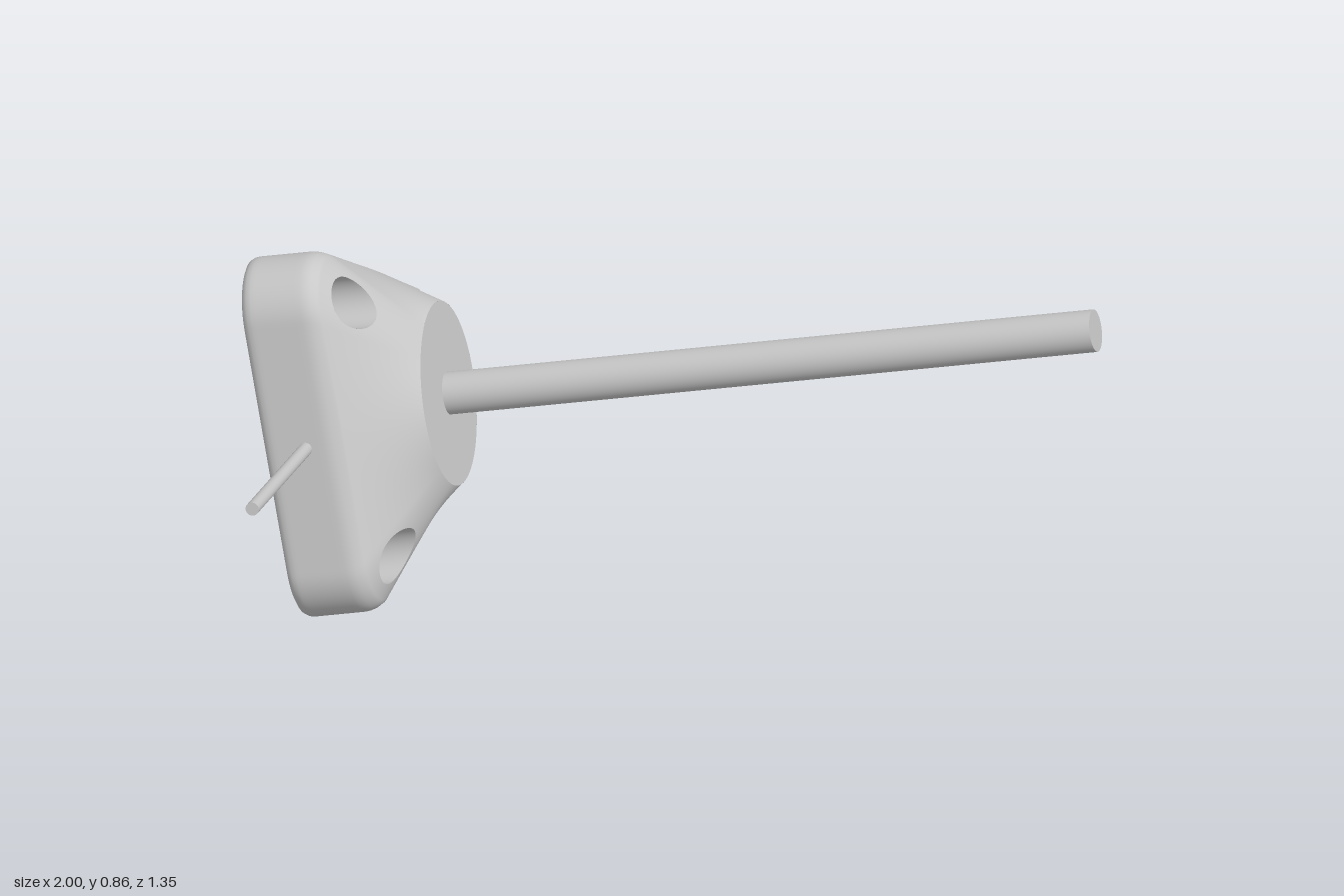
import * as THREE from 'three';

export function createModel() {
  const model = new THREE.Group();
  const grey = new THREE.MeshStandardMaterial({ color: 0xc8c8c8, side: THREE.DoubleSide });

  // Tilted frame: local z runs along the rod, local x along the thin lead
  const mount = new THREE.Group();
  mount.name = 'mountAssembly';
  const axis = new THREE.Vector3(0.973, 0.226, -0.035).normalize();
  const side = new THREE.Vector3(-0.018, 0.225, 0.974);
  side.addScaledVector(axis, -side.dot(axis)).normalize();
  const cross = new THREE.Vector3().crossVectors(axis, side);
  mount.quaternion.setFromRotationMatrix(new THREE.Matrix4().makeBasis(side, cross, axis));
  mount.position.set(-0.555, 0.438, -0.187);
  model.add(mount);

  const add = (name, geometry, x = 0, y = 0, z = 0) => {
    const mesh = new THREE.Mesh(geometry, grey);
    mesh.name = name;
    mesh.position.set(x, y, z);
    mount.add(mesh);
    return mesh;
  };

  const TOP_R = 0.217, SLOPE = 0.175, BACK = -0.35, BORE = 0.063, PIN = 0.03;
  const FRONT_FLOOR = -0.2, BACK_FLOOR = -0.28, N = 240;
  const holes = [[0.262, 0.31], [0.262, -0.31], [-0.367, 0]];

  // Rounded triangular outline with a blunt tip
  const a = 1.976;
  const outline = new THREE.Shape();
  outline.absarc(0.25, 0.305, 0.13, 0, a);
  outline.absarc(-0.42, 0.083, 0.07, a, Math.PI);
  outline.absarc(-0.42, -0.083, 0.07, Math.PI, 2 * Math.PI - a);
  outline.absarc(0.25, -0.305, 0.13, 2 * Math.PI - a, 2 * Math.PI);
  outline.closePath();
  const rim = outline.getSpacedPoints(N).slice(0, N);

  // Distance from the axis to the convex outline in a given direction
  const reach = (dx, dy) => {
    let best = Infinity;
    rim.forEach((p, i) => {
      const q = rim[(i + 1) % N];
      const nx = q.y - p.y, ny = p.x - q.x;
      const along = nx * dx + ny * dy;
      if (along > 1e-9) best = Math.min(best, (nx * p.x + ny * p.y) / along);
    });
    return best;
  };
  // Height of the sloping surface between outline and top disc
  const height = (x, y) => {
    const d = Math.hypot(x, y);
    return -SLOPE * (d - TOP_R) / (reach(x / d, y / d) - TOP_R);
  };

  // Housing: straight rim, small edge rounding, then slope up to the disc
  const rows = [[0.97, BACK], [0.985, BACK + 0.004], [0.997, BACK + 0.014], [1, BACK + 0.025],
    [1, BACK + 0.035], [1, -0.22], [1, -0.205], [0.997, -0.192], [0.988, -0.18]];
  const SLOPE_ROWS = 32, total = rows.length + SLOPE_ROWS + 1;
  const positions = [], inside = [], index = [];
  for (let i = 0; i < total; i++) {
    for (const p of rim) {
      if (i < rows.length) {
        positions.push(p.x * rows[i][0], p.y * rows[i][0], rows[i][1]);
        inside.push(false);
        continue;
      }
      const d = p.length();
      const k = THREE.MathUtils.lerp(0.97, TOP_R / d, (i - rows.length) / SLOPE_ROWS);
      let x = p.x * k, y = p.y * k;
      // Points inside a screw hole move out to its edge
      const hole = holes.find(([hx, hy]) => Math.hypot(x - hx, y - hy) < BORE);
      if (hole) {
        const dx = x - hole[0], dy = y - hole[1], m = Math.hypot(dx, dy) || 1;
        x = hole[0] + dx / m * BORE;
        y = hole[1] + dy / m * BORE;
      }
      positions.push(x, y, height(x, y));
      inside.push(!!hole);
    }
  }
  for (let i = 0; i < total - 1; i++) {
    for (let j = 0; j < N; j++) {
      const p = i * N + j, q = i * N + (j + 1) % N, r = p + N, s = q + N;
      for (const tri of [[p, q, s], [p, s, r]]) {
        if (!tri.every((v) => inside[v])) index.push(...tri);
      }
    }
  }
  const housing = new THREE.BufferGeometry();
  housing.setAttribute('position', new THREE.Float32BufferAttribute(positions, 3));
  housing.setIndex(index);
  housing.computeVertexNormals();
  add('housing', housing);
  add('topDisc', new THREE.CircleGeometry(TOP_R, 96));

  // Flat back plate with three openings
  const backShape = new THREE.Shape(rim.map((p) => p.clone().multiplyScalar(0.97)));
  for (const [x, y] of holes) {
    backShape.holes.push(new THREE.Path().absarc(x, y, BORE, 0, 2 * Math.PI, true));
  }
  const backPlate = new THREE.ShapeGeometry(backShape, 24);
  backPlate.rotateX(Math.PI);
  backPlate.scale(1, -1, 1);
  // Turn the faces to look backwards
  const order = backPlate.index.array;
  const pos = backPlate.attributes.position;
  const e = [0, 1, 2].map((i) => new THREE.Vector3().fromBufferAttribute(pos, order[i]));
  if (e[1].clone().sub(e[0]).cross(e[2].clone().sub(e[0])).z > 0) {
    for (let i = 0; i < order.length; i += 3) [order[i], order[i + 1]] = [order[i + 1], order[i]];
  }
  backPlate.computeVertexNormals();
  add('backPlate', backPlate, 0, 0, BACK);

  // Screw holes: wide recess on both sides, narrow bore between
  const tube = (radius, from, to) => {
    const g = new THREE.CylinderGeometry(radius, radius, to - from, 48, 1, true);
    return g.rotateX(Math.PI / 2).translate(0, 0, (from + to) / 2);
  };
  for (const [x, y] of holes) {
    const recess = tube(BORE, FRONT_FLOOR, 0);
    const p = recess.attributes.position;
    for (let i = 0; i < p.count; i++) {
      if (p.getZ(i) > -0.01) p.setZ(i, height(x + p.getX(i), y + p.getY(i)));
    }
    add('frontRecess', recess, x, y);
    add('frontRecessFloor', new THREE.RingGeometry(PIN, BORE, 48), x, y, FRONT_FLOOR);
    add('screwBore', tube(PIN, BACK_FLOOR, FRONT_FLOOR), x, y);
    add('backRecess', tube(BORE, BACK, BACK_FLOOR), x, y);
    add('backRecessFloor', new THREE.RingGeometry(PIN, BORE, 48).rotateY(Math.PI), x, y, BACK_FLOOR);
  }

  // Long rod from the disc and thin lead from the rim
  add('rod', new THREE.CylinderGeometry(0.05, 0.05, 1.585, 48).rotateX(Math.PI / 2), 0, 0, 0.7925);
  add('lead', new THREE.CylinderGeometry(0.016, 0.016, 0.512, 24).rotateZ(Math.PI / 2), 0.616, 0, -0.25);

  return model;
}
